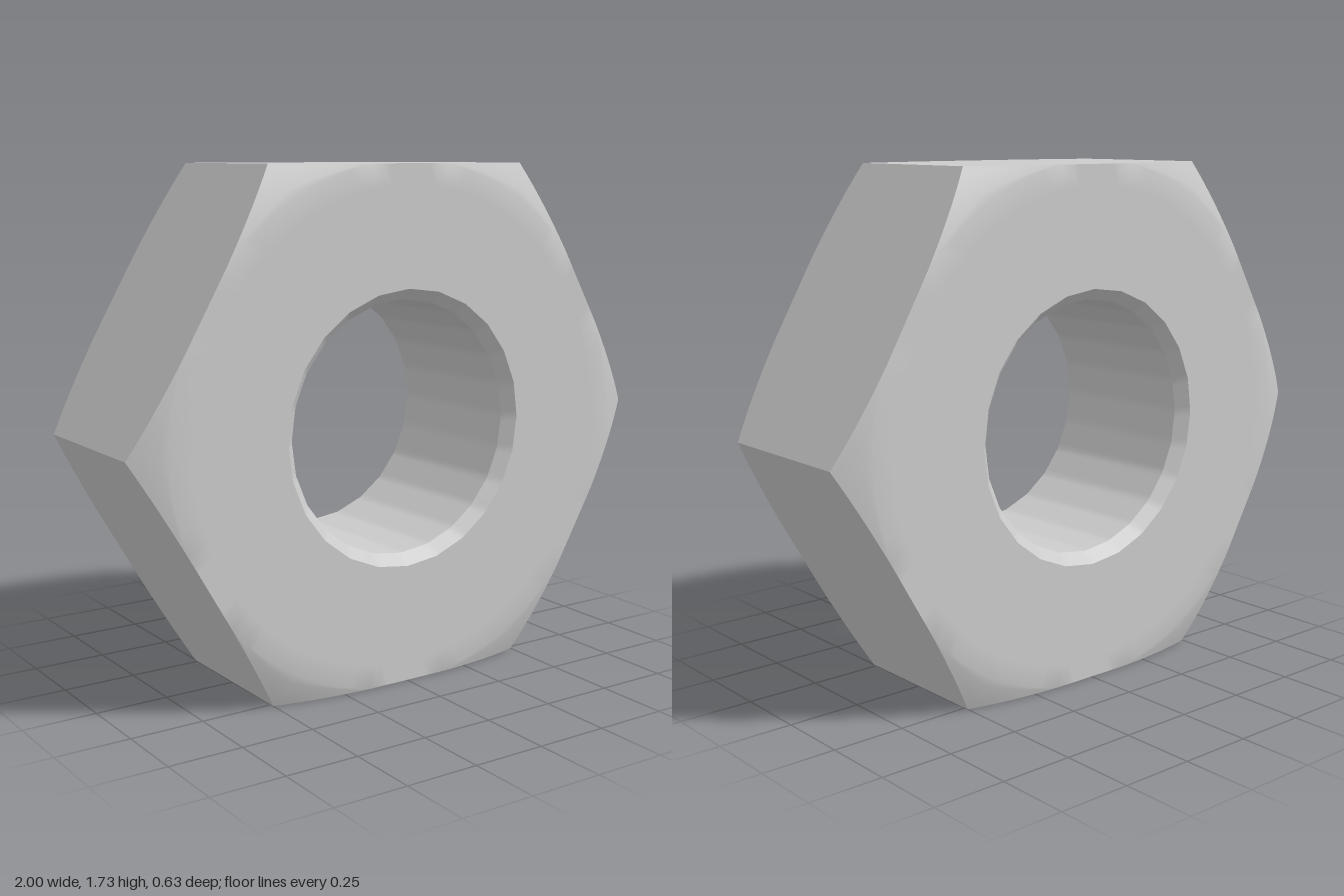
import * as THREE from 'three';
import { toCreasedNormals } from 'three/addons/utils/BufferGeometryUtils.js';

const HALF = 0.315;        // half thickness
const BEVEL_START = 0.878; // radius where the corner bevel begins
const STEPS = 144;         // points around each ring

// Distance from the centre to a regular n-gon's outline at angle a.
function polygonRadius(r, n, a) {
  const step = (2 * Math.PI) / n;
  const local = (a % step) - step / 2;
  return (r * Math.cos(step / 2)) / Math.cos(local);
}

// Height of the bevelled face at radius r, slightly domed toward the corners.
function faceZ(r) {
  const t = Math.max(0, (r - BEVEL_START) / (1 - BEVEL_START));
  return HALF - 0.05 * (0.7 * t + 0.3 * t * t);
}

// Point [radius, z] on the front outer face; t runs from bevel start to the hexagon edge.
function bevelPoint(a, t) {
  const hex = polygonRadius(1, 6, a);
  const r = THREE.MathUtils.lerp(Math.min(BEVEL_START, hex), hex, t);
  return [r, faceZ(r)];
}

function createNutGeometry() {
  // Front half of the cross-section, from the bore out to the hexagon edge
  const front = [
    (a) => [polygonRadius(0.428, 24, a), HALF - 0.04],
    (a) => [polygonRadius(0.465, 24, a), HALF],
    () => [0.8, HALF],
    ...[0, 0.25, 0.5, 0.75, 1].map((t) => (a) => bevelPoint(a, t)),
  ];
  // Mirror for the back half
  const back = front.map((f) => (a) => {
    const [r, z] = f(a);
    return [r, -z];
  }).reverse();
  const rings = [...front, ...back];

  const positions = [];
  const index = [];
  rings.forEach((ring, i) => {
    const next = (i + 1) % rings.length;
    for (let j = 0; j < STEPS; j++) {
      const a = (j / STEPS) * Math.PI * 2;
      const [r, z] = ring(a + 1e-9);
      positions.push(r * Math.cos(a), r * Math.sin(a), z);
      const k = (j + 1) % STEPS;
      const p = i * STEPS + j, q = next * STEPS + j;
      const s = next * STEPS + k, t = i * STEPS + k;
      index.push(p, q, s, p, s, t);
    }
  });

  const geometry = new THREE.BufferGeometry();
  geometry.setAttribute('position', new THREE.Float32BufferAttribute(positions, 3));
  geometry.setIndex(index);
  return toCreasedNormals(geometry, THREE.MathUtils.degToRad(38));
}

export function createModel() {
  const group = new THREE.Group();
  group.name = 'hexNut';
  const material = new THREE.MeshStandardMaterial({ color: 0xcccccc });
  const nut = new THREE.Mesh(createNutGeometry(), material);
  nut.name = 'nutBody';
  nut.position.y = Math.sqrt(3) / 2; // rests on a flat side
  group.add(nut);
  return group;
}
